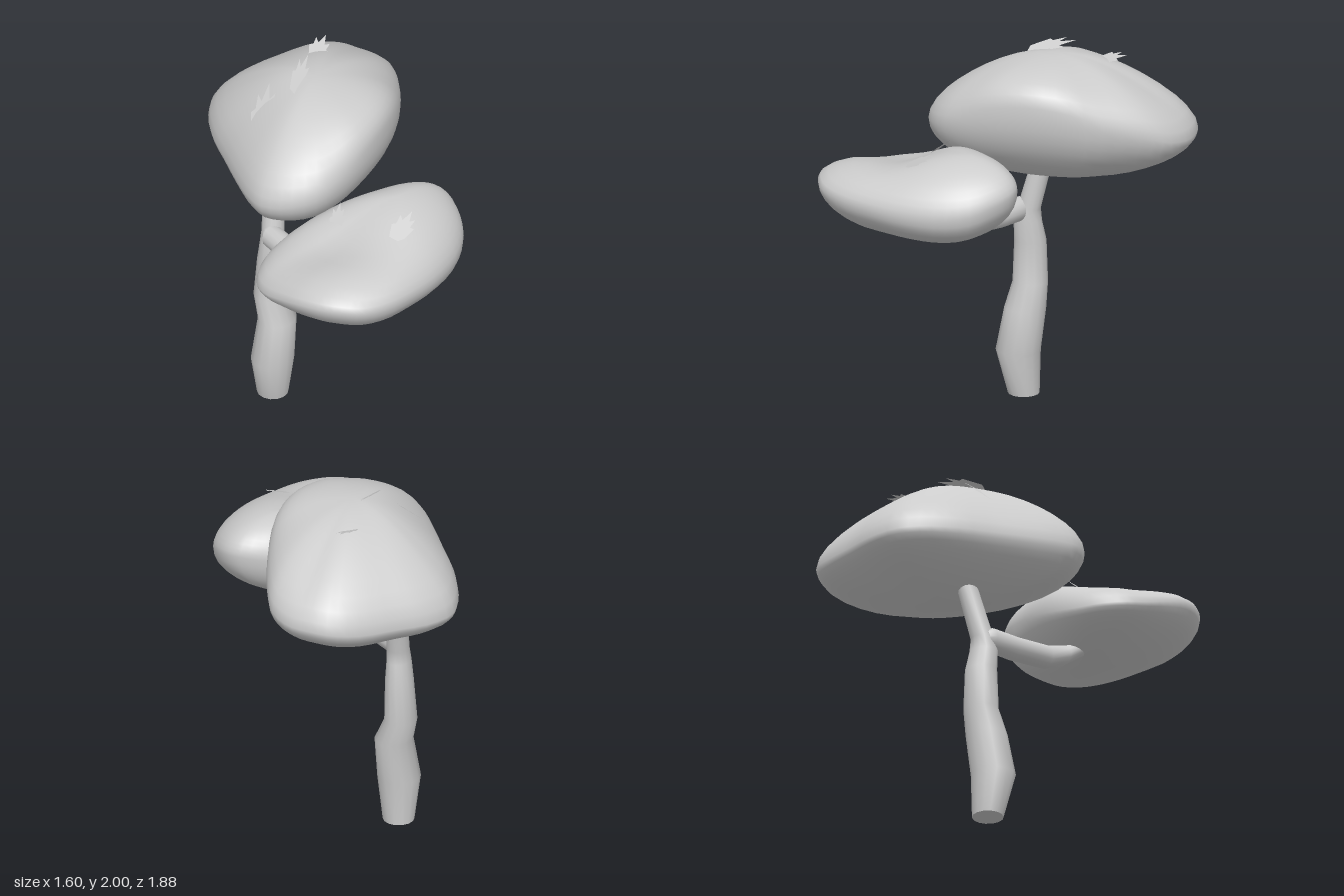
import * as THREE from 'three';
import { mergeVertices } from 'three/addons/utils/BufferGeometryUtils.js';

const material = new THREE.MeshStandardMaterial({ color: 0xcccccc });
const leafMaterial = new THREE.MeshStandardMaterial({ color: 0xcccccc, side: THREE.DoubleSide });
const V = (x, y, z) => new THREE.Vector3(x, y, z);

// Skin a grid of points (rows x columns, columns closed) with smooth normals
function skin(rows) {
  const n = rows[0].length, index = [];
  for (let i = 0; i < rows.length - 1; i++) {
    for (let j = 0; j < n; j++) {
      const k = (j + 1) % n;
      const a = i * n + j, b = a + n, c = (i + 1) * n + k, d = i * n + k;
      index.push(a, b, c, a, c, d);
    }
  }
  let geo = new THREE.BufferGeometry().setFromPoints(rows.flat());
  geo.setIndex(index);
  geo = mergeVertices(geo, 1e-5);
  geo.computeVertexNormals();
  return geo;
}

// Foliage cushion: rim points [x, y, z, fullnessAbove, fullnessBelow] swept
// to a top and a bottom pole; arcs are round at the pole and blunt at the rim
function canopy(name, rim, top, bottom, reshape = () => {}) {
  const path = new THREE.CatmullRomCurve3(rim.map(([x, y, z]) => V(x, y, z)), true);
  const full = new THREE.CatmullRomCurve3(rim.map((p) => V(p[3], p[4], 0)), true);
  const columns = 56, steps = 22, rows = [];
  for (let i = 0; i <= steps; i++) {
    const t = (i / steps) * Math.PI, above = i <= steps / 2;
    const s = i % steps ? Math.sin(t) : 0, c = Math.abs(Math.cos(t));
    const row = [];
    for (let j = 0; j < columns; j++) {
      const edge = path.getPoint(j / columns), r = full.getPoint(j / columns);
      const pole = above ? top : bottom;
      const e = THREE.MathUtils.lerp(2, above ? r.x : r.y, s);
      const f = s ** (2 / e), h = c ** (2 / Math.max(1.9, e));
      const p = V(
        pole.x + (edge.x - pole.x) * f,
        edge.y + (pole.y - edge.y) * h,
        pole.z + (edge.z - pole.z) * f
      );
      if (above) reshape(p, c);
      row.push(p);
    }
    rows.push(row);
  }
  const mesh = new THREE.Mesh(skin(rows), material);
  mesh.name = name;
  return mesh;
}

// Limb through stations [x, y, z, radiusA, radiusB] with capped ends;
// u and v are the axes of every cross-section, u x v pointing back along it
function limb(name, stations, u, v, sides = 14) {
  const rows = stations.map(([x, y, z, a, b]) =>
    Array.from({ length: sides }, (_, j) => {
      const t = (j / sides) * Math.PI * 2;
      return V(x, y, z).addScaledVector(u, a * Math.cos(t)).addScaledVector(v, b * Math.sin(t));
    })
  );
  const group = new THREE.Group();
  group.name = name;
  group.add(new THREE.Mesh(skin(rows), material));
  [stations[0], stations[stations.length - 1]].forEach((s, end) => {
    const ring = rows[end ? rows.length - 1 : 0];
    const centre = ring.map(() => V(s[0], s[1], s[2]));
    group.add(new THREE.Mesh(skin(end ? [ring, centre] : [centre, ring]), material));
  });
  return group;
}

// Jagged flat leaf tuft from a base point to a tip, spread along side
const tuftShape = new THREE.Shape([
  [-0.3, 0.05], [0.15, 0], [0.35, 0.12], [0.5, 0.48], [0.3, 0.5], [0.34, 0.76], [0.14, 0.66],
  [0, 1], [-0.16, 0.64], [-0.36, 0.78], [-0.34, 0.5], [-0.5, 0.44],
].map(([x, y]) => new THREE.Vector2(x, y)));

function tuft(base, tip, side) {
  const up = tip.clone().sub(base);
  const normal = side.clone().cross(up).normalize();
  const geo = new THREE.ShapeGeometry(tuftShape);
  geo.applyMatrix4(new THREE.Matrix4().makeBasis(side, up, normal).setPosition(base));
  geo.computeVertexNormals();
  const mesh = new THREE.Mesh(geo, leafMaterial);
  mesh.name = 'leafTuft';
  return mesh;
}

export function createModel() {
  const model = new THREE.Group();
  model.name = 'tree';

  // Crooked trunk
  model.add(limb('trunk', [
    [-0.318, 0, 0.001, 0.083, 0.083],
    [-0.308, 0.24, 0.028, 0.113, 0.118],
    [-0.298, 0.48, -0.012, 0.1, 0.11],
    [-0.345, 0.61, -0.028, 0.085, 0.093],
    [-0.338, 0.84, -0.03, 0.073, 0.085],
    [-0.33, 0.95, -0.018, 0.063, 0.075],
    [-0.328, 1.02, -0.025, 0.06, 0.062],
    [-0.348, 1.31, -0.1, 0.055, 0.055],
  ], V(1, 0, 0), V(0, 0, 1)));

  // Side branch reaching to the lower foliage
  model.add(limb('branch', [
    [-0.35, 1.02, -0.005, 0.035, 0.04],
    [-0.32, 1.015, 0.015, 0.06, 0.065],
    [-0.18, 1.015, 0.1, 0.065, 0.065],
    [0.0, 1.03, 0.22, 0.062, 0.065],
    [0.07, 1.06, 0.3, 0.055, 0.055],
    [0.2, 1.17, 0.4, 0.05, 0.05],
  ], V(0.5, 0, -0.86), V(0, -1, 0)));

  // Upper foliage
  model.add(canopy('upperFoliage', [
    [-0.25, 1.54, -0.94, 1, 1.5], [-0.37, 1.53, -0.915, 1.1, 1.5],
    [-0.49, 1.51, -0.82, 1.2, 1.5], [-0.62, 1.5, -0.66, 1.2, 1.4],
    [-0.74, 1.49, -0.51, 1.1, 1.3], [-0.8, 1.49, -0.36, 1, 1.3],
    [-0.77, 1.5, -0.22, 1, 1.3], [-0.68, 1.51, -0.06, 1.1, 1.4],
    [-0.55, 1.52, 0.1, 1.2, 1.5], [-0.42, 1.53, 0.26, 1.2, 1.6],
    [-0.3, 1.54, 0.39, 1.2, 1.8], [-0.2, 1.55, 0.455, 1.2, 2],
    [-0.06, 1.57, 0.45, 1.3, 2], [0.08, 1.6, 0.37, 1.6, 2],
    [0.17, 1.64, 0.23, 2.1, 2], [0.23, 1.69, 0.06, 2.7, 2],
    [0.26, 1.72, -0.14, 3, 2], [0.25, 1.71, -0.32, 2.7, 2],
    [0.19, 1.66, -0.52, 2, 2], [0.08, 1.6, -0.75, 1.5, 1.8],
    [0.0, 1.56, -0.86, 1.2, 1.6], [-0.12, 1.54, -0.925, 1, 1.5],
  ], V(-0.16, 1.955, -0.2), V(-0.24, 1.27, -0.22)));

  // Lower foliage, with a hollow behind its front lip
  model.add(canopy('lowerFoliage', [
    [0.52, 1.42, -0.16, 2, 2], [0.38, 1.4, -0.1, 2, 2],
    [0.24, 1.37, 0.01, 1.9, 2], [0.06, 1.31, 0.16, 1.7, 1.9],
    [-0.08, 1.25, 0.31, 1.5, 1.8], [-0.15, 1.22, 0.44, 1.4, 1.7],
    [-0.165, 1.22, 0.56, 1.3, 1.7], [-0.13, 1.23, 0.69, 1.2, 1.7],
    [-0.05, 1.25, 0.78, 1.1, 1.7], [0.08, 1.3, 0.86, 1.1, 1.8],
    [0.2, 1.34, 0.915, 1.1, 1.8], [0.33, 1.36, 0.94, 1.1, 1.8],
    [0.44, 1.36, 0.925, 1.1, 1.8], [0.54, 1.35, 0.88, 1.1, 1.9],
    [0.64, 1.34, 0.77, 1.2, 2], [0.72, 1.33, 0.6, 1.4, 2],
    [0.78, 1.32, 0.4, 1.6, 2.1], [0.8, 1.32, 0.2, 1.7, 2.2],
    [0.77, 1.34, 0.04, 1.8, 2.2], [0.7, 1.38, -0.07, 1.9, 2.1],
    [0.61, 1.41, -0.145, 2, 2],
  ], V(0.44, 1.58, 0.14), V(0.25, 1.08, 0.36), (p, w) => {
    p.y -= 0.1 * w * Math.exp(-(((p.x - 0.24) / 0.33) ** 2) - ((p.z - 0.53) / 0.22) ** 2);
  }));

  // Leaf tufts standing on the foliage
  [
    [V(-0.25, 1.89, -0.4), V(-0.25, 1.935, -0.57), V(0.11, -0.03, 0)],
    [V(-0.22, 1.93, -0.04), V(-0.24, 2.0, -0.3), V(0.08, -0.05, 0)],
    [V(-0.35, 1.75, 0.12), V(-0.38, 1.91, -0.11), V(0.14, 0.06, 0)],
    [V(0.19, 1.46, 0.39), V(0.17, 1.55, 0.27), V(0.09, 0.03, 0)],
    [V(0.54, 1.52, 0.43), V(0.57, 1.6, 0.26), V(0.12, -0.01, 0)],
  ].forEach((t) => model.add(tuft(...t)));

  return model;
}
